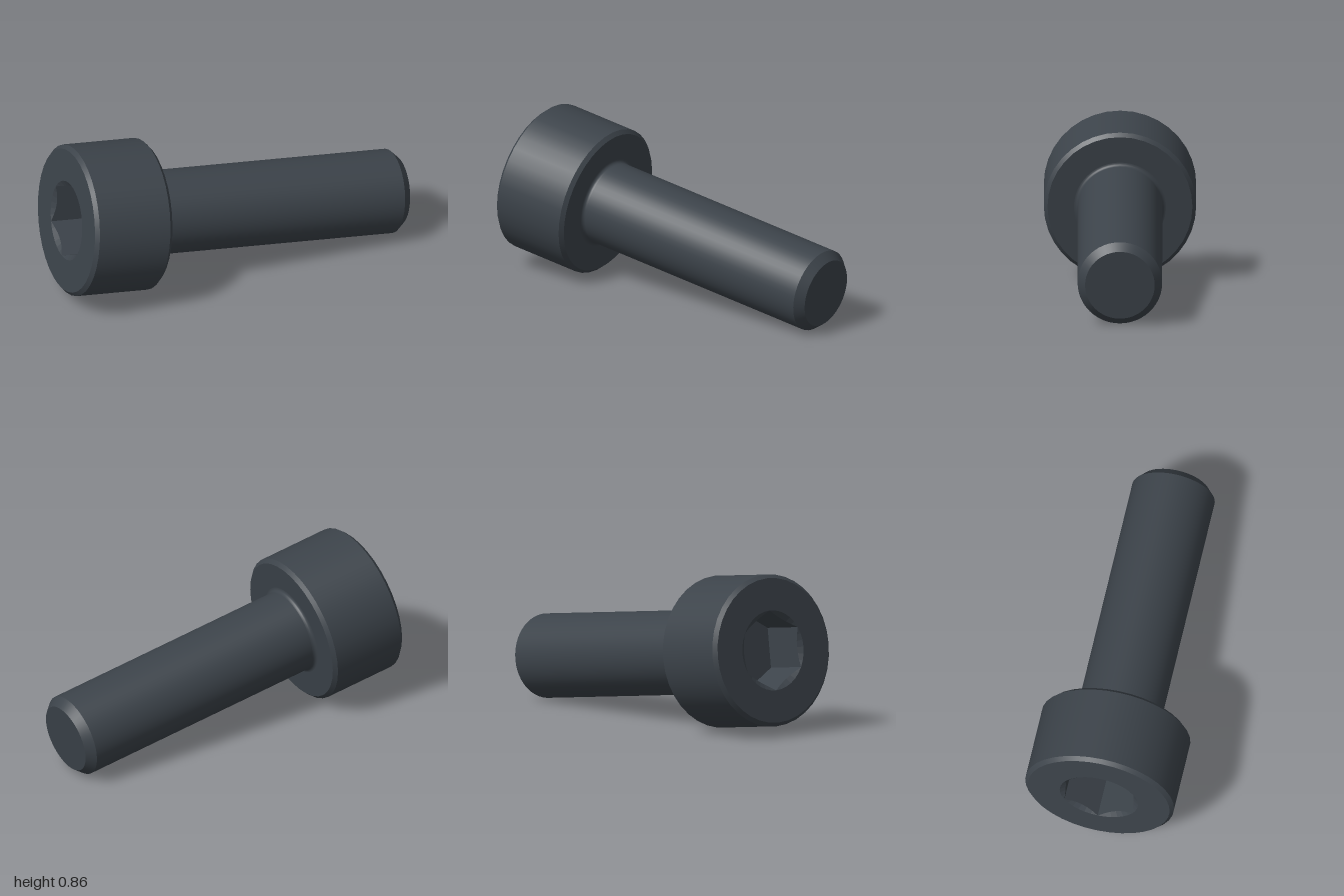
import * as THREE from 'three';
import { mergeGeometries } from 'three/addons/utils/BufferGeometryUtils.js';

const HEAD_R = 0.407, SHAFT_R = 0.226, SOCKET_R = 0.214;
const HEAD_LEN = 0.45, TOTAL_LEN = 1.917, BEVEL = 0.02;

// Each profile is turned separately, so edges between profiles stay sharp.
function turned(profiles, segments) {
  return mergeGeometries(profiles.map((p) =>
    new THREE.LatheGeometry(p.map(([r, y]) => new THREE.Vector2(r, y)), segments)));
}

// Hexagonal recess: a turned profile whose inner rows are squeezed to a hexagon.
function socketGeometry() {
  const depth = 0.25;
  const rows = [[0, depth], [SOCKET_R, depth], [SOCKET_R, 0.001], [SOCKET_R, 0]];
  const geo = new THREE.LatheGeometry(rows.map(([r, y]) => new THREE.Vector2(r, y)), 36);
  const pos = geo.attributes.position;
  const step = Math.PI / 3;
  for (let i = 0; i < pos.count; i++) {
    const row = i % rows.length;
    if (row !== 1 && row !== 2) continue;
    const angle = Math.atan2(pos.getZ(i), pos.getX(i)) + 2 * Math.PI;
    const k = Math.cos(step / 2) / Math.cos((angle % step) - step / 2);
    pos.setX(i, pos.getX(i) * k);
    pos.setZ(i, pos.getZ(i) * k);
    // The countersink cone meets the flats in shallow arcs.
    if (row === 2) pos.setY(i, SOCKET_R * (1 - k) * 0.7);
  }
  const flat = geo.toNonIndexed();
  flat.computeVertexNormals();
  return flat;
}

export function createModel() {
  const steel = new THREE.MeshStandardMaterial({ color: 0x3c434a });
  steel.name = 'darkSteel';
  const bolt = new THREE.Group();
  bolt.name = 'socketHeadBolt';
  const add = (name, geometry) => {
    const mesh = new THREE.Mesh(geometry, steel);
    mesh.name = name;
    bolt.add(mesh);
  };

  // Cylindrical head with small bevels on both rims
  const r = HEAD_R - BEVEL;
  add('head', turned([
    [[SOCKET_R, 0], [r, 0]],
    [[r, 0], [HEAD_R, BEVEL]],
    [[HEAD_R, BEVEL], [HEAD_R, HEAD_LEN - BEVEL]],
    [[HEAD_R, HEAD_LEN - BEVEL], [r, HEAD_LEN]],
    [[r, HEAD_LEN], [SHAFT_R, HEAD_LEN]],
  ], 36));
  add('hexSocket', socketGeometry());

  // Shaft with a fillet under the head and a chamfered tip
  const fillet = 0.02;
  const root = [];
  for (let i = 0; i <= 5; i++) {
    const a = (i / 5) * Math.PI / 2;
    root.push([SHAFT_R + fillet * (1 - Math.sin(a)), HEAD_LEN + fillet * (1 - Math.cos(a))]);
  }
  const chamferY = TOTAL_LEN - 0.046, tipR = 0.186;
  add('shaft', turned([
    root,
    [[SHAFT_R, HEAD_LEN + fillet], [SHAFT_R, chamferY]],
    [[SHAFT_R, chamferY], [tipR, TOTAL_LEN]],
    [[tipR, TOTAL_LEN], [0, TOTAL_LEN]],
  ], 48));

  // Lay the bolt down along its tilted axis
  const axis = new THREE.Vector3(0.969, -0.128, 0.211).normalize();
  const up = new THREE.Vector3(0, 1, 0).addScaledVector(axis, -axis.y).normalize();
  const side = new THREE.Vector3().crossVectors(up, axis);
  bolt.quaternion.setFromRotationMatrix(new THREE.Matrix4().makeBasis(up, axis, side));
  bolt.position.set(-0.904, 0.47, -0.114);

  const model = new THREE.Group();
  model.name = 'model';
  model.add(bolt);
  return model;
}
